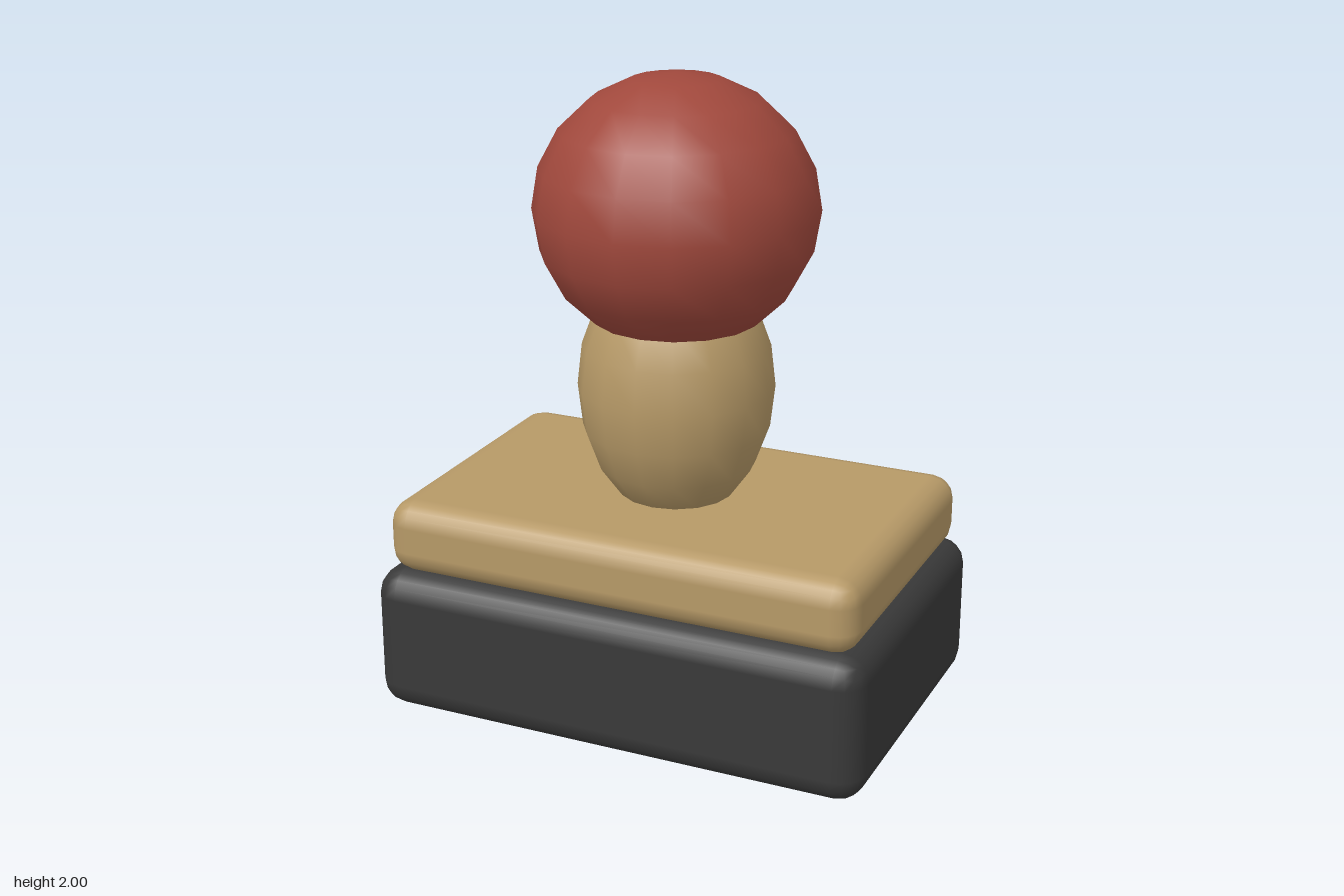
import * as THREE from 'three';
import { RoundedBoxGeometry } from 'three/addons/geometries/RoundedBoxGeometry.js';

function material(name, color) {
  const m = new THREE.MeshStandardMaterial({ color });
  m.name = name;
  return m;
}

export function createModel() {
  const model = new THREE.Group();
  const dark = material('charcoal', 0x393939);
  const tan = material('tan wood', 0xb69967);
  const red = material('brick red', 0xa0483c);

  function add(name, geometry, mat, y) {
    const mesh = new THREE.Mesh(geometry, mat);
    mesh.name = name;
    mesh.position.y = y;
    model.add(mesh);
  }

  // Block with rounded edges, spanning y0 to y1
  const block = (name, w, d, y0, y1, r, mat) =>
    add(name, new RoundedBoxGeometry(w, y1 - y0, d, 2, r), mat, (y0 + y1) / 2);

  // Ellipsoid of revolution
  const ball = (name, r, ry, y, mat) =>
    add(name, new THREE.SphereGeometry(r, 16, 10).scale(1, ry / r, 1), mat, y);

  block('base', 1.614, 1.06, 0, 0.465, 0.085, dark);
  block('plate', 1.54, 0.985, 0.455, 0.687, 0.075, tan);
  ball('handleStem', 0.305, 0.425, 1.03, tan);
  ball('handleKnob', 0.436, 0.415, 1.585, red);

  return model;
}
